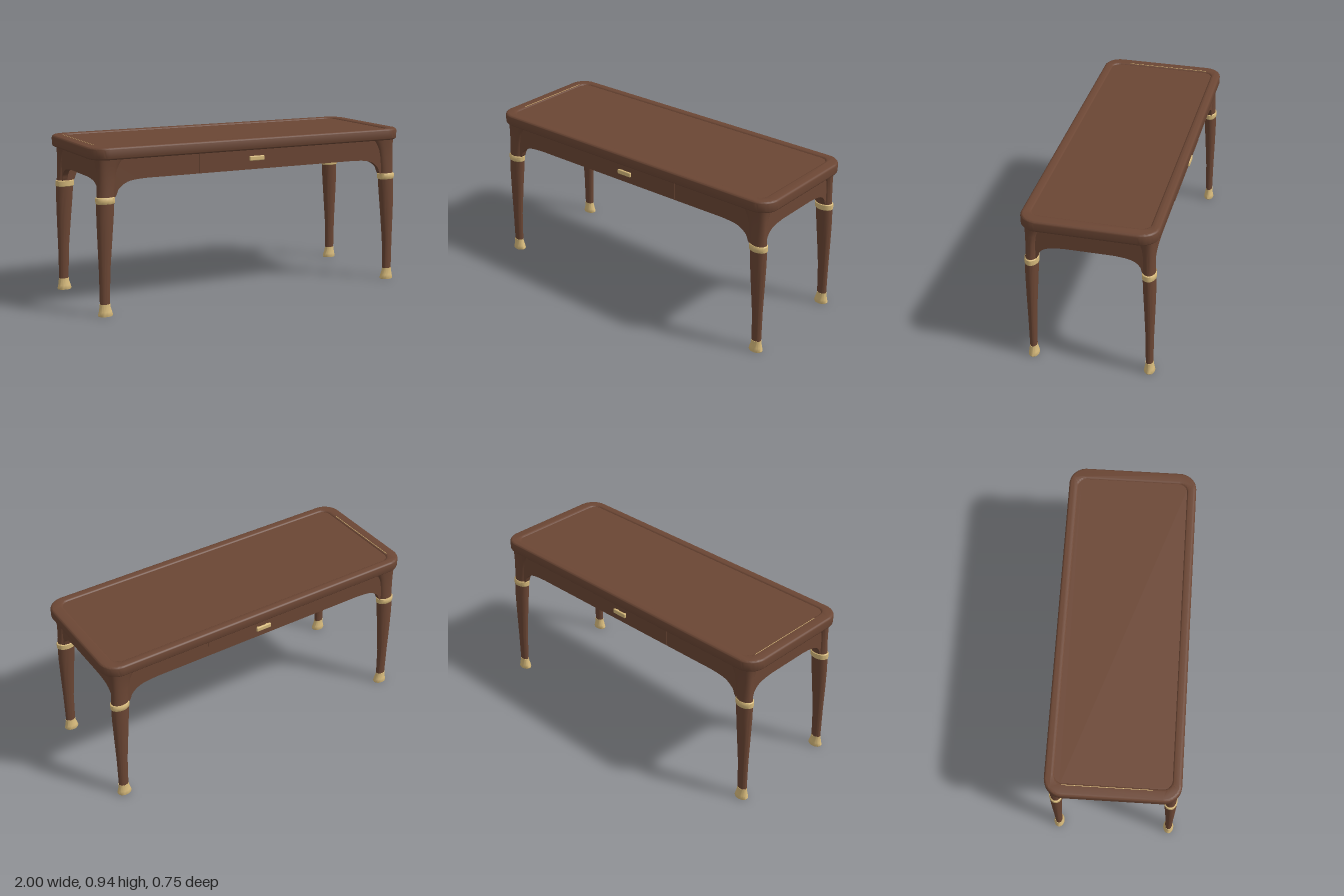
import * as THREE from 'three';
import { mergeVertices, toCreasedNormals } from 'three/addons/utils/BufferGeometryUtils.js';
import { RoundedBoxGeometry } from 'three/addons/geometries/RoundedBoxGeometry.js';

const wood = new THREE.MeshStandardMaterial({ color: 0x6b4634 });
wood.name = 'walnut wood';
const brass = new THREE.MeshStandardMaterial({ color: 0xd8bb7c });
brass.name = 'brass';

// Rounded rectangle outline with half sizes w, h and corner radius r
function roundedRect(w, h, r, Type = THREE.Shape) {
  const s = new Type();
  s.absarc(w - r, h - r, r, 0, Math.PI / 2);
  s.absarc(-w + r, h - r, r, Math.PI / 2, Math.PI);
  s.absarc(-w + r, -h + r, r, Math.PI, Math.PI * 1.5);
  s.absarc(w - r, -h + r, r, Math.PI * 1.5, Math.PI * 2);
  s.closePath();
  return s;
}

// Loft through rows of [y, xOuter, xInner, zOuter, zInner, squareness]
function legLoft(rows, sx, sz, n = 32) {
  const pos = [], idx = [];
  for (const [y, xo, xi, zo, zi, p = 2] of rows) {
    for (let i = 0; i < n; i++) {
      const a = (i / n) * Math.PI * 2, c = Math.cos(a), s = Math.sin(a);
      const ex = Math.sign(c) * Math.abs(c) ** (2 / p);
      const ez = Math.sign(s) * Math.abs(s) ** (2 / p);
      pos.push(sx * (xo + xi) / 2 + ex * (xo - xi) / 2, y, sz * (zo + zi) / 2 + ez * (zo - zi) / 2);
    }
  }
  for (let r = 0; r < rows.length - 1; r++) {
    for (let i = 0; i < n; i++) {
      const a = r * n + i, b = r * n + (i + 1) % n;
      idx.push(a, a + n, b, b, a + n, b + n);
    }
  }
  // End caps
  const top = (rows.length - 1) * n;
  for (let i = 1; i < n - 1; i++) {
    idx.push(0, i, i + 1, top, top + i + 1, top + i);
  }
  const g = new THREE.BufferGeometry();
  g.setAttribute('position', new THREE.Float32BufferAttribute(pos, 3));
  g.setIndex(idx);
  return toCreasedNormals(mergeVertices(g), 0.7);
}

// Apron board with an arched lower edge; w = half length, arch = curve points at the +x end
function apronBoard(w, arch, thickness) {
  const curve = new THREE.CatmullRomCurve3(arch.map(([x, y]) => new THREE.Vector3(x, y, 0)));
  const edge = curve.getPoints(20);
  const s = new THREE.Shape();
  s.moveTo(-w, 0.875);
  s.lineTo(-w, arch[0][1]);
  edge.forEach((p) => s.lineTo(-p.x, p.y));
  edge.reverse().forEach((p) => s.lineTo(p.x, p.y));
  s.lineTo(w, arch[0][1]);
  s.lineTo(w, 0.875);
  s.closePath();
  const g = new THREE.ExtrudeGeometry(s, { depth: thickness, bevelEnabled: false });
  g.translate(0, 0, -thickness);
  return toCreasedNormals(g, 0.6);
}

export function createModel() {
  const root = new THREE.Group();
  root.name = 'writingTable';
  const add = (name, geo, mat, parent = root) => {
    const m = new THREE.Mesh(geo, mat);
    m.name = name;
    parent.add(m);
    return m;
  };

  // Table top: rounded rim around a slightly sunken panel
  const bevel = 0.016;
  const rimShape = roundedRect(1 - bevel, 0.377 - bevel, 0.085);
  rimShape.holes.push(roundedRect(0.942, 0.337, 0.065, THREE.Path));
  const rimGeo = new THREE.ExtrudeGeometry(rimShape, {
    depth: 0.068 - 2 * bevel, bevelThickness: bevel, bevelSize: bevel, bevelSegments: 5, curveSegments: 10,
  });
  rimGeo.rotateX(-Math.PI / 2).translate(0, 0.869 + bevel, 0);
  add('topRim', toCreasedNormals(rimGeo, 0.6), wood);

  const panelGeo = new THREE.ExtrudeGeometry(roundedRect(0.945, 0.34, 0.065), { depth: 0.05, bevelEnabled: false, curveSegments: 10 });
  panelGeo.rotateX(-Math.PI / 2).translate(0, 0.879, 0);
  add('topPanel', toCreasedNormals(panelGeo, 0.6), wood);

  // Fine brass inlay at one end of the panel
  add('inlayLine', new THREE.BoxGeometry(0.003, 0.003, 0.5), brass).position.set(-0.938, 0.936, -0.03);

  // Aprons on all four sides
  const longArch = [[0.885, 0.65], [0.862, 0.665], [0.843, 0.705], [0.79, 0.741], [0.7, 0.753], [0.6, 0.754]];
  const shortArch = [[0.305, 0.65], [0.29, 0.665], [0.278, 0.7], [0.24, 0.733], [0.15, 0.749], [0.1, 0.75]];
  for (const [side, turn] of [['front', 0], ['back', Math.PI]]) {
    const g = new THREE.Group();
    g.name = side + 'Apron';
    g.rotation.y = turn;
    root.add(g);
    add('apronBoard', apronBoard(0.92, longArch, 0.032), wood, g).position.z = 0.342;
    // Drawer front with its pull
    add('drawerFront', new THREE.BoxGeometry(0.71, 0.112, 0.006), wood, g).position.set(0, 0.813, 0.342);
    add('drawerPull', new RoundedBoxGeometry(0.095, 0.028, 0.014, 3, 0.006), brass, g).position.set(0, 0.82, 0.361);
    for (const x of [-0.03, 0.03]) {
      add('pullPost', new THREE.CylinderGeometry(0.007, 0.007, 0.02, 12).rotateX(Math.PI / 2), brass, g).position.set(x, 0.82, 0.35);
    }
  }
  for (const [side, s] of [['left', 1], ['right', -1]]) {
    const m = add(side + 'Apron', apronBoard(0.325, shortArch, 0.032), wood);
    m.rotation.y = s * Math.PI / 2;
    m.position.x = s * 0.943;
  }

  // Legs: flared foot, tapering shaft, collar and spreading knee
  const foot = [
    [0, 0.972, 0.892, 0.363, 0.305],
    [0.006, 0.975, 0.889, 0.365, 0.303],
    [0.025, 0.97, 0.894, 0.361, 0.306],
    [0.05, 0.966, 0.902, 0.357, 0.311],
    [0.068, 0.965, 0.904, 0.356, 0.312],
  ];
  const shaft = [
    [0.066, 0.963, 0.905, 0.354, 0.313],
    [0.25, 0.964, 0.899, 0.356, 0.309],
    [0.42, 0.968, 0.884, 0.36, 0.3],
    [0.55, 0.97, 0.872, 0.362, 0.292],
    [0.632, 0.968, 0.866, 0.361, 0.288],
  ];
  const collar = [
    [0.626, 0.967, 0.867, 0.36, 0.289],
    [0.63, 0.972, 0.862, 0.363, 0.285],
    [0.645, 0.973, 0.861, 0.364, 0.284],
    [0.66, 0.972, 0.86, 0.363, 0.284],
    [0.664, 0.967, 0.866, 0.36, 0.289],
  ];
  const knee = [
    [0.655, 0.966, 0.866, 0.359, 0.288],
    [0.7, 0.962, 0.862, 0.356, 0.288, 2.1],
    [0.76, 0.96, 0.855, 0.354, 0.287, 2.3],
    [0.81, 0.96, 0.844, 0.354, 0.28, 2.5],
    [0.845, 0.962, 0.826, 0.356, 0.267, 2.7],
    [0.872, 0.966, 0.805, 0.358, 0.25, 2.8],
  ];
  for (const sx of [1, -1]) {
    for (const sz of [1, -1]) {
      const leg = new THREE.Group();
      leg.name = (sz > 0 ? 'front' : 'back') + (sx > 0 ? 'Left' : 'Right') + 'Leg';
      root.add(leg);
      add('foot', legLoft(foot, sx, sz), brass, leg);
      add('shaft', legLoft(shaft, sx, sz), wood, leg);
      add('collar', legLoft(collar, sx, sz), brass, leg);
      add('knee', legLoft(knee, sx, sz), wood, leg);
    }
  }
  return root;
}
